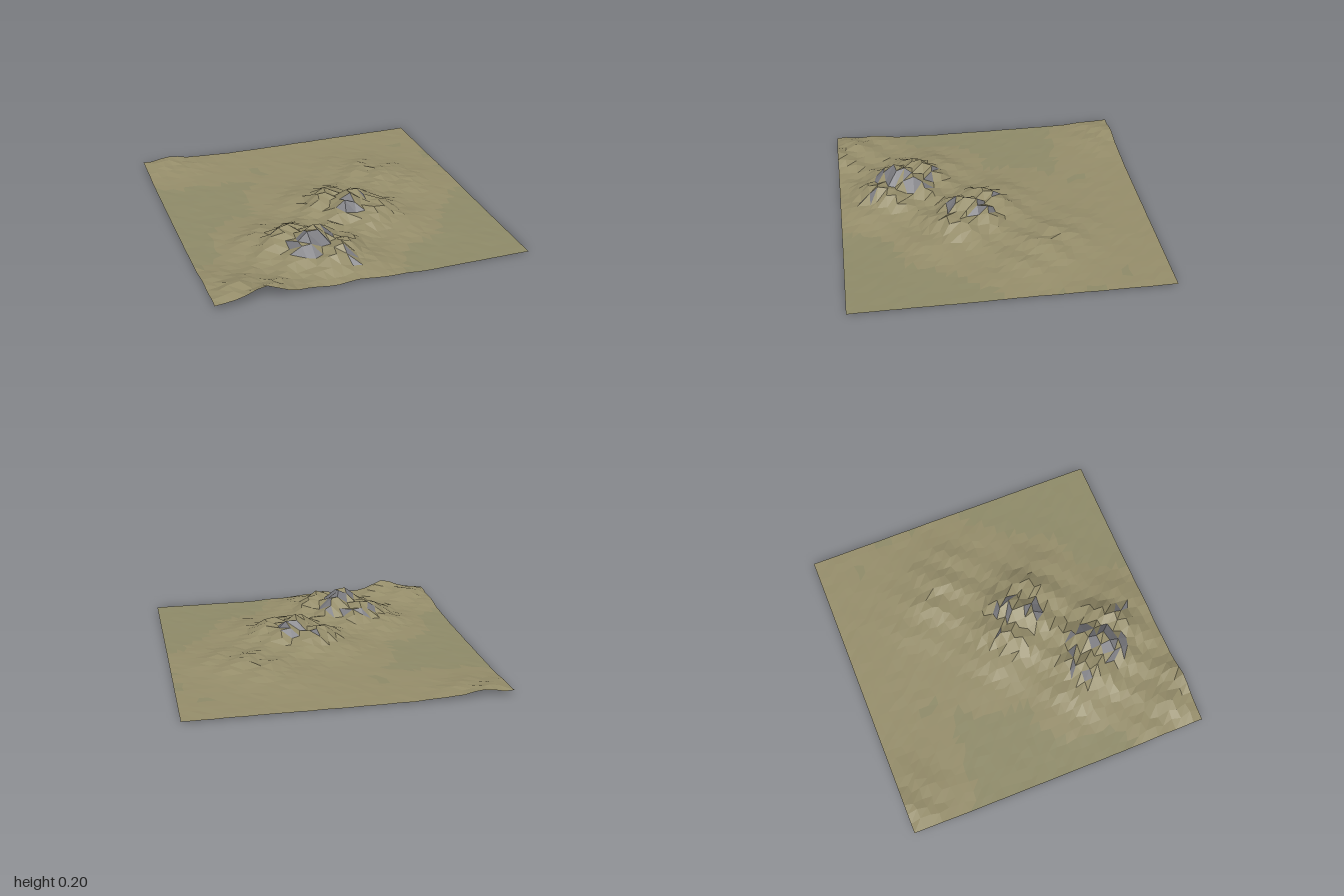
import * as THREE from 'three';

const CELLS = 32;

// Hills lie on diagonal ridges: s runs along the ridge (x - z), p across it (x + z).
const HILLS = [
  { s: -1.71, p: 0.28, h: 0.084, ws: 0.21, wp: 0.36 },
  { s: -0.86, p: 0.29, h: 0.17, ws: 0.225, wp: 0.36 },
  { s: -0.03, p: 0.28, h: 0.145, ws: 0.225, wp: 0.34 },
  { s: 0.77, p: 0.22, h: 0.055, ws: 0.225, wp: 0.34 },
  { s: 0.13, p: -1.8, h: 0.036, ws: 0.23, wp: 0.25 },
];

// Repeatable noise in the range -1..1
function hash(i, j) {
  const v = Math.sin(i * 127.1 + j * 311.7 + 4.3) * 43758.5453;
  return (v - Math.floor(v)) * 2 - 1;
}

function height(x, z, i, j) {
  const s = x - z, p = x + z;
  let hill = 0;
  for (const k of HILLS) {
    hill += k.h * Math.exp(-0.5 * (((s - k.s) / k.ws) ** 2 + ((p - k.p) / k.wp) ** 2));
  }
  // Parallel crests every 0.3 across the ridge, gently waving along it
  const wave = Math.cos((2 * Math.PI * (p + 0.015 * Math.sin(s * 9))) / 0.3);
  const plain = 0.011 + 0.003 * Math.sin(2.3 * x + 1) * Math.cos(1.9 * z) - 0.005 * z;
  return Math.max(0, plain + hill * (0.94 + 0.25 * wave) + hash(i, j) * (0.0015 + hill * 0.05));
}

// Grid points, jittered sideways away from the border
function gridPoint(i, j) {
  const inner = i > 0 && j > 0 && i < CELLS && j < CELLS ? 0.42 / CELLS : 0;
  const x = (i / CELLS) * 2 - 1 + hash(i + 50, j) * inner;
  const z = (j / CELLS) * 2 - 1 + hash(i, j + 90) * inner;
  return new THREE.Vector3(x, height(x, z, i, j), z);
}

export function createModel() {
  const group = new THREE.Group();
  group.name = 'terrain';
  const layers = {
    lowland: { color: 0x8e8a68, points: [] },
    hillside: { color: 0x958d6a, points: [] },
    rock: { color: 0x7b7b80, points: [] },
  };

  const grid = [];
  for (let i = 0; i <= CELLS; i++) {
    grid.push([]);
    for (let j = 0; j <= CELLS; j++) grid[i].push(gridPoint(i, j));
  }

  // Sort each facet by steepness and height into rock, hillside or lowland
  const triangle = new THREE.Triangle();
  const normal = new THREE.Vector3();
  const addFacet = (a, b, c) => {
    triangle.set(a, b, c).getNormal(normal);
    const top = (a.y + b.y + c.y) / 3;
    const kind = normal.y < 0.74 ? 'rock' : top > 0.014 ? 'hillside' : 'lowland';
    layers[kind].points.push(a, b, c);
  };

  // Cells are split across the ridges, so the crests zigzag
  for (let i = 0; i < CELLS; i++) {
    for (let j = 0; j < CELLS; j++) {
      const a = grid[i][j], b = grid[i][j + 1], c = grid[i + 1][j + 1], d = grid[i + 1][j];
      addFacet(a, b, c);
      addFacet(a, c, d);
    }
  }

  // One open, flat-shaded sheet per ground type
  for (const [name, { color, points }] of Object.entries(layers)) {
    const geometry = new THREE.BufferGeometry().setFromPoints(points);
    geometry.computeVertexNormals();
    const material = new THREE.MeshStandardMaterial({ color, flatShading: true, side: THREE.DoubleSide });
    const mesh = new THREE.Mesh(geometry, material);
    mesh.name = name;
    group.add(mesh);
  }
  return group;
}
